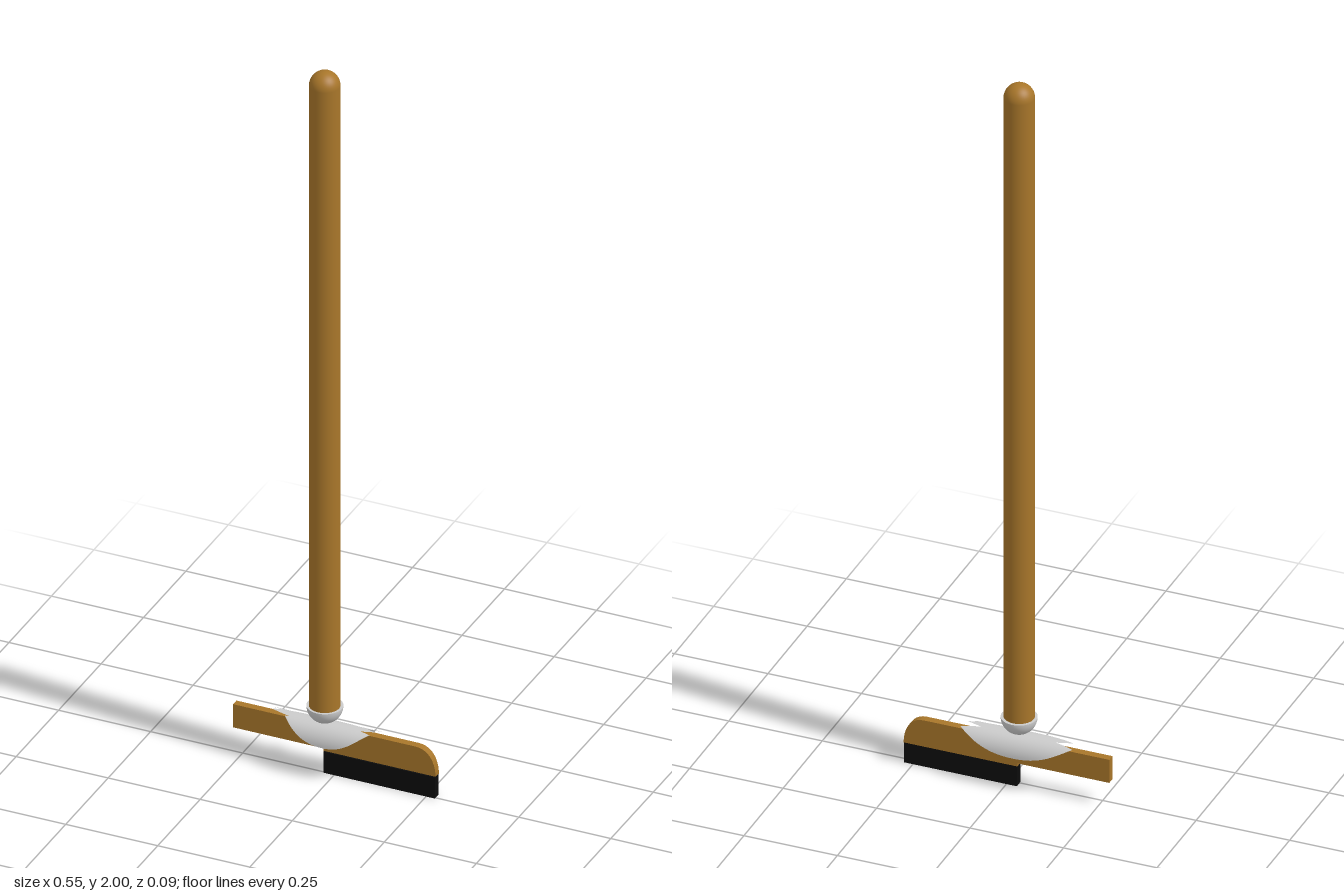
import * as THREE from 'three';

const material = (color, side = THREE.FrontSide) =>
  new THREE.MeshStandardMaterial({ color, side });
const wood = material(0xa8762a);
const black = material(0x0c0c0c);
const metal = material(0xcccccc, THREE.DoubleSide);
const AXIS_X = -0.027;

// One pointed leaf wrapped round a horizontal cylinder of radius r.
// Angles are measured from the top towards +z; both edges meet at the tip angle.
function leafGeometry(x0, x1, tip, edgeA, edgeB, r) {
  const nx = 32, na = 12, points = [], index = [];
  for (let i = 0; i <= nx; i++) {
    const u = (i / nx) * 2 - 1;
    const swell = 1 - Math.pow(Math.abs(u), 2.2);
    const x = THREE.MathUtils.lerp(x0, x1, i / nx);
    for (let j = 0; j <= na; j++) {
      const edge = THREE.MathUtils.lerp(edgeA, edgeB, j / na);
      const a = THREE.MathUtils.degToRad(tip + (edge - tip) * swell);
      points.push(x, 0.095 + r * Math.cos(a), -0.001 + r * 0.94 * Math.sin(a));
      if (i < nx && j < na) {
        const k = i * (na + 1) + j;
        index.push(k, k + 1, k + na + 1, k + 1, k + na + 2, k + na + 1);
      }
    }
  }
  const g = new THREE.BufferGeometry();
  g.setAttribute('position', new THREE.Float32BufferAttribute(points, 3));
  g.setIndex(index);
  g.computeVertexNormals();
  return g;
}

export function createModel() {
  const model = new THREE.Group();
  const add = (name, geometry, mat, x = 0, y = 0, z = 0) => {
    const mesh = new THREE.Mesh(geometry, mat);
    mesh.name = name;
    mesh.position.set(x, y, z);
    model.add(mesh);
    return mesh;
  };

  // Long pole with a domed end
  const R = 0.039;
  add('handle', new THREE.CylinderGeometry(R, R, 1.791, 40, 1), wood, AXIS_X, 1.0655);
  add('handleCap', new THREE.SphereGeometry(R, 40, 12, 0, Math.PI * 2, 0, Math.PI / 2),
    wood, AXIS_X, 1.961);

  // Round cup holding the pole, with a flat rim
  add('cup', new THREE.SphereGeometry(0.046, 40, 16, 0, Math.PI * 2, Math.PI / 2, Math.PI / 2),
    metal, AXIS_X, 0.191, -0.001);
  const rim = add('cupRim', new THREE.CircleGeometry(0.046, 40), metal, AXIS_X, 0.191, -0.001);
  rim.rotation.x = -Math.PI / 2;

  // Head board with one rounded upper corner and a shallow step underneath
  const board = new THREE.Shape();
  board.moveTo(-0.276, 0.067);
  board.lineTo(-0.03, 0.067);
  board.lineTo(-0.03, 0.058);
  board.lineTo(0.274, 0.058);
  board.bezierCurveTo(0.274, 0.10, 0.255, 0.133, 0.22, 0.133);
  board.lineTo(-0.276, 0.133);
  board.closePath();
  add('headBoard', new THREE.ExtrudeGeometry(board,
    { depth: 0.02, bevelEnabled: false, curveSegments: 10 }), wood, 0, 0, -0.02);

  // Bristle strip below one half of the board
  add('bristles', new THREE.BoxGeometry(0.302, 0.06, 0.022), black, 0.123, 0.03, -0.007);

  // Bracket of overlapping pointed leaves draped over the board
  add('backLeaf', leafGeometry(-0.178, 0.122, -25, -90, 0, 0.049), metal);
  add('frontLeaf', leafGeometry(-0.13, 0.1, 16, 0, 90, 0.049), metal);
  add('topLeaf', leafGeometry(-0.172, 0.11, 0, -24, 24, 0.051), metal);

  return model;
}
